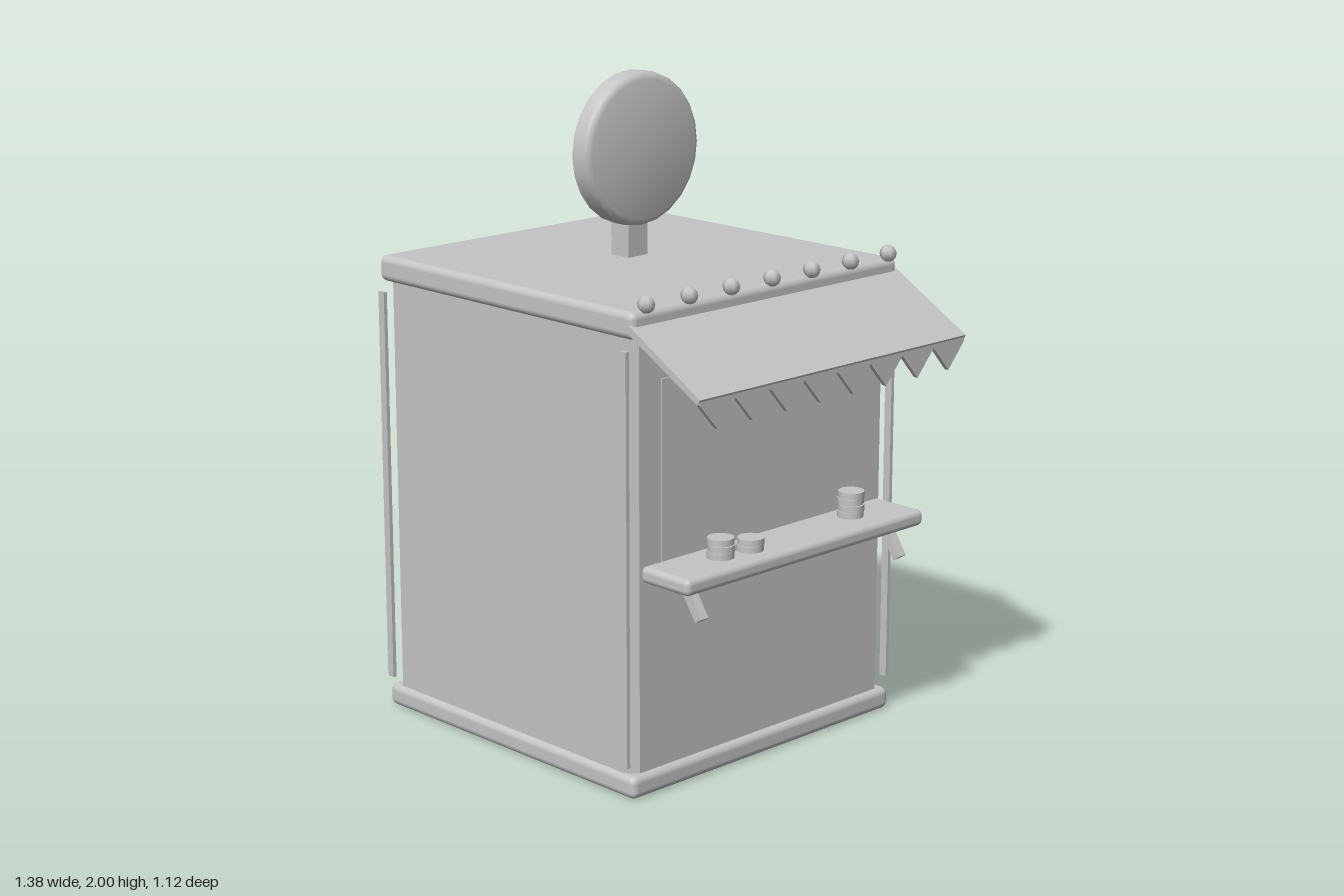
import * as THREE from 'three';
import { toCreasedNormals } from 'three/addons/utils/BufferGeometryUtils.js';
import { RoundedBoxGeometry } from 'three/addons/geometries/RoundedBoxGeometry.js';

export function createModel() {
  const group = new THREE.Group();
  const grey = new THREE.MeshStandardMaterial({ color: 0xc4c4c4 });
  grey.name = 'plain grey';

  const add = (name, geometry, x = 0, y = 0, z = 0) => {
    const mesh = new THREE.Mesh(geometry, grey);
    mesh.name = name;
    mesh.position.set(x, y, z);
    group.add(mesh);
    return mesh;
  };
  // box given by its x, y and z limits
  const box = (name, x0, x1, y0, y1, z0, z1, radius = 0) => {
    const size = [x1 - x0, y1 - y0, z1 - z0];
    const g = radius ? new RoundedBoxGeometry(...size, 3, radius) : new THREE.BoxGeometry(...size);
    return add(name, g, (x0 + x1) / 2, (y0 + y1) / 2, (z0 + z1) / 2);
  };
  const shapeOf = (points) => new THREE.Shape(points.map(([x, y]) => new THREE.Vector2(x, y)));

  // base and roof slabs
  box('base', -0.695, 0.42, 0, 0.07, -0.55, 0.55, 0.022);
  box('roof', -0.695, 0.42, 1.36, 1.44, -0.55, 0.55, 0.022);

  // booth walls with chamfered upright corners
  const x0 = -0.675, x1 = 0.4, w = 0.535, c = 0.03;
  const plan = shapeOf([
    [x0 + c, -w], [x1 - c, -w], [x1, -w + c], [x1, w - c],
    [x1 - c, w], [x0 + c, w], [x0, w - c], [x0, -w + c],
  ]);
  const walls = new THREE.ExtrudeGeometry(plan, { depth: 1.32, bevelEnabled: false });
  walls.rotateX(-Math.PI / 2);
  add('walls', walls, 0, 0.05, 0);

  // thin corner strips standing just off the side walls
  for (const z of [-0.555, 0.555]) {
    for (const x of [-0.672, 0.393]) {
      box('cornerStrip', x - 0.013, x + 0.013, 0.1, 1.33, z - 0.006, z + 0.006);
    }
  }

  // serving window panel
  box('windowPanel', 0.397, 0.405, 0.69, 1.23, -0.42, 0.42);

  // counter and its slanted brackets
  box('counter', 0.395, 0.59, 0.645, 0.695, -0.5, 0.5, 0.018);
  for (const z of [-0.42, 0.42]) {
    const bracket = add('counterBracket', new THREE.BoxGeometry(0.028, 0.13, 0.03), 0.53, 0.61, z);
    bracket.rotation.z = 0.58;
  }

  // stacks of round pieces on the counter: x, z, count
  for (const [x, z, count] of [[0.495, 0.275, 3], [0.505, 0.165, 2], [0.48, -0.29, 4]]) {
    for (let i = 0; i < count; i++) {
      const disc = new THREE.CylinderGeometry(0.04, 0.04, 0.019, 16);
      add('stackDisc', disc, x + (i % 2) * 0.003, 0.705 + i * 0.0205, z);
    }
  }

  // sloping awning
  const slope = shapeOf([[0.4, 1.385], [0.682, 1.228], [0.69, 1.245], [0.41, 1.405]]);
  add('awning', new THREE.ExtrudeGeometry(slope, { depth: 1.106, bevelEnabled: false }), 0, 0, -0.553);

  // toothed valance along the awning edge
  const teeth = 8, pitch = 1.1 / teeth;
  const edge = [[0.55, 1.24], [-0.55, 1.24]];
  for (let i = 0; i < teeth; i++) {
    edge.push([-0.55 + i * pitch, 1.228], [-0.55 + (i + 0.5) * pitch, 1.15]);
  }
  edge.push([0.55, 1.228]);
  const valance = new THREE.ExtrudeGeometry(shapeOf(edge), { depth: 0.014, bevelEnabled: false });
  valance.rotateY(Math.PI / 2);
  add('valance', valance, 0.673, 0, 0);

  // row of bulbs on the roof edge
  for (let i = 0; i < 7; i++) {
    const bulb = add('bulb', new THREE.SphereGeometry(0.026, 6, 8), 0.425, 1.46, -0.5 + i / 6);
    bulb.rotation.y = Math.PI / 6;
  }

  // round sign with a rounded front edge and a shallow sunken back
  box('signPost', -0.21, -0.135, 1.43, 1.56, -0.04, 0.04);
  const profile = [
    [0, 0.006], [0.205, 0.006], [0.205, 0], [0.232, 0], [0.232, 0.042],
    [0.229, 0.053], [0.222, 0.061], [0.21, 0.065], [0, 0.065],
  ].map(([r, h]) => new THREE.Vector2(r, h));
  const sign = add('roundSign', toCreasedNormals(new THREE.LatheGeometry(profile, 24), 0.6), -0.17, 1.768, 0);
  sign.rotation.z = -Math.PI / 2;

  return group;
}
